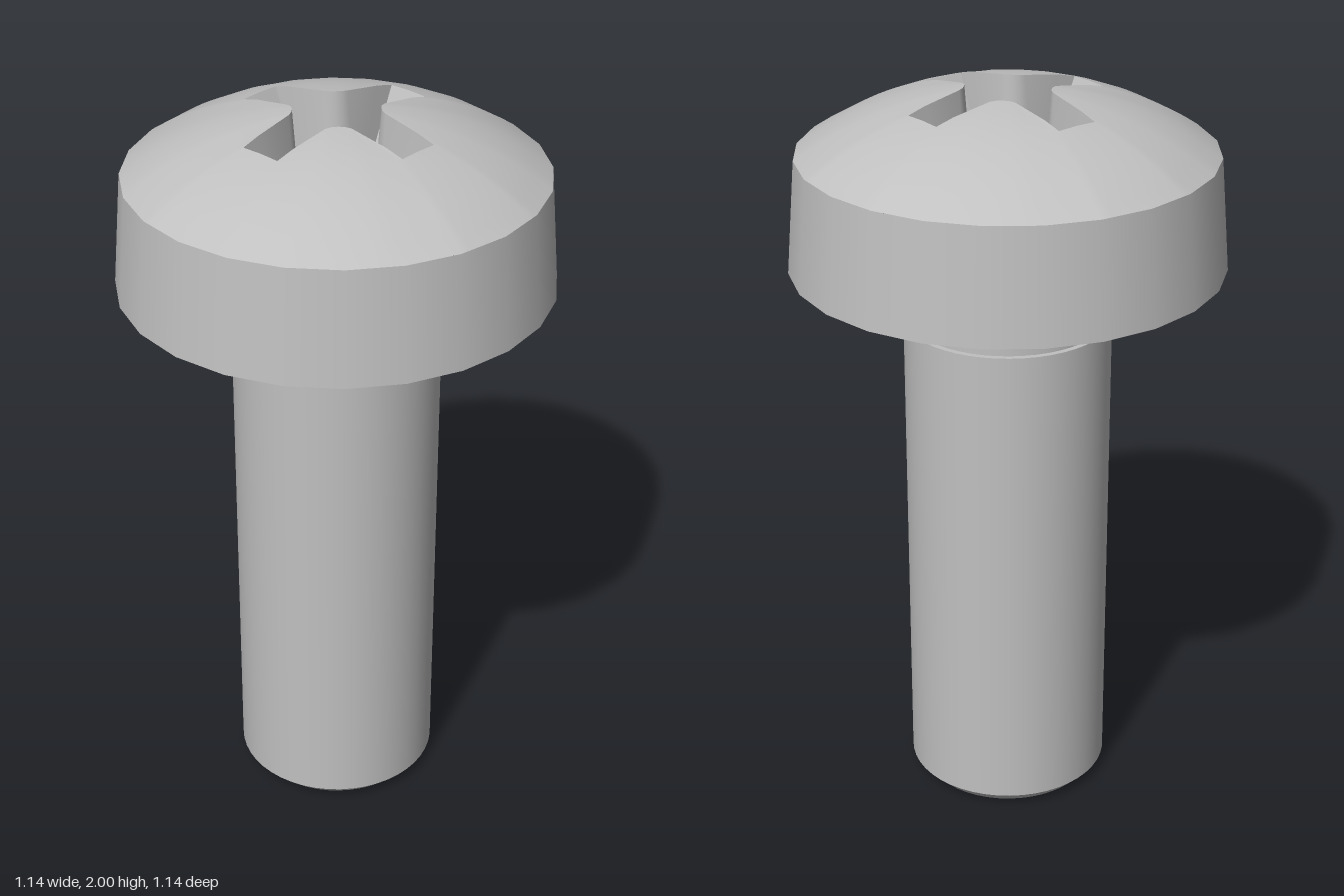
import * as THREE from 'three';
import { mergeGeometries, toCreasedNormals } from 'three/addons/utils/BufferGeometryUtils.js';

const RIM_R = 0.545, RIM_Y = 1.83, TOP_Y = 2.002;
const STEP = Math.PI / 12; // the head has 24 sides

// Height of the domed top at a given radius
const SPHERE_R = (RIM_R ** 2 + (TOP_Y - RIM_Y) ** 2) / (2 * (TOP_Y - RIM_Y));
const domeY = r => TOP_Y - SPHERE_R + Math.sqrt(SPHERE_R ** 2 - r ** 2);

// Lathe with a hard edge at every profile point
function hardLathe(profile, sides) {
  const pts = profile.map(p => new THREE.Vector2(...p));
  return mergeGeometries(pts.slice(1).map((p, i) => new THREE.LatheGeometry([pts[i], p], sides)));
}

// Skin between successive closed rings, listed from inner to outer
function skin(rings) {
  const n = rings[0].length, index = [];
  for (let k = 0; k < rings.length - 1; k++) {
    for (let i = 0; i < n; i++) {
      const j = (i + 1) % n, a = k * n, b = a + n;
      index.push(a + i, a + j, b + i, a + j, b + j, b + i);
    }
  }
  const geo = new THREE.BufferGeometry();
  geo.setAttribute('position', new THREE.Float32BufferAttribute(rings.flat(2), 3));
  geo.setIndex(index);
  geo.computeVertexNormals();
  return geo;
}

// Full cross outline from one eighth of it, by mirroring and quarter turns
function cross(eighth) {
  const mirrored = eighth.slice(1, -1).reverse().map(([x, z]) => [z, x]);
  const quarter = [...eighth, ...mirrored];
  const out = [];
  for (let q = 0; q < 4; q++) {
    for (const [x, z] of quarter) out.push([[x, z], [-z, x], [-x, -z], [z, -x]][q]);
  }
  return out;
}

export function createModel() {
  const group = new THREE.Group();
  const steel = new THREE.MeshStandardMaterial({ color: 0xc0c0c0 });
  steel.name = 'steel grey';
  const add = (name, geo) => {
    const mesh = new THREE.Mesh(geo, steel);
    mesh.name = name;
    group.add(mesh);
  };

  // Shank with chamfered tip, and the slimmer neck
  add('shank', hardLathe([[0, 0], [0.24, 0], [0.275, 0.035], [0.275, 1.375], [0.26, 1.375]], 48));
  add('neck', hardLathe([[0.26, 1.375], [0.26, 1.53]], 48));

  // Tapered head side and its underside
  add('headSide', hardLathe([[0.25, 1.53], [0.57, 1.53], [RIM_R, RIM_Y]], 24));

  // Cross recess outlines at the dome and at the floor
  const mouth = cross([[0.268, 0], [0.268, 0.057], [0.2162, 0.0579],
    [0.1065, 0.0615], [0.09, 0.068], [0.078, 0.078]]);
  const base = cross([[0.135, 0], [0.135, 0.045], [0.125, 0.0448],
    [0.1, 0.0448], [0.075, 0.052], [0.062, 0.062]]);
  const floorY = 1.69;

  // Domed top running from the recess mouth to the 24-sided rim
  const mouthRing = mouth.map(([x, z]) => [x, domeY(Math.hypot(x, z)), z]);
  const domeRings = [];
  const bands = 8;
  for (let k = 0; k <= bands; k++) {
    domeRings.push(mouth.map(([x, z]) => {
      const angle = Math.atan2(z, x), r0 = Math.hypot(x, z);
      const nearest = Math.round(angle / STEP) * STEP;
      const off = Math.abs(angle - nearest);
      const rim = RIM_R * Math.cos(STEP / 2) / Math.cos(off - STEP / 2);
      const t = k / bands, r = r0 + (rim - r0) * t;
      const y = domeY(r + (RIM_R - rim) * t);
      return [r * Math.cos(angle), y, r * Math.sin(angle)];
    }));
  }
  add('headDome', skin(domeRings));

  // Sloping recess walls and flat floor
  const baseRing = base.map(([x, z]) => [x, floorY, z]);
  add('recessWalls', toCreasedNormals(skin([baseRing, mouthRing]), 0.6));
  add('recessFloor', skin([base.map(([x, z]) => [x * 0.01, floorY, z * 0.01]), baseRing]));
  const centre = new THREE.CircleGeometry(0.003, 12);
  centre.rotateX(-Math.PI / 2);
  centre.translate(0, floorY, 0);
  add('recessCentre', centre);

  return group;
}
